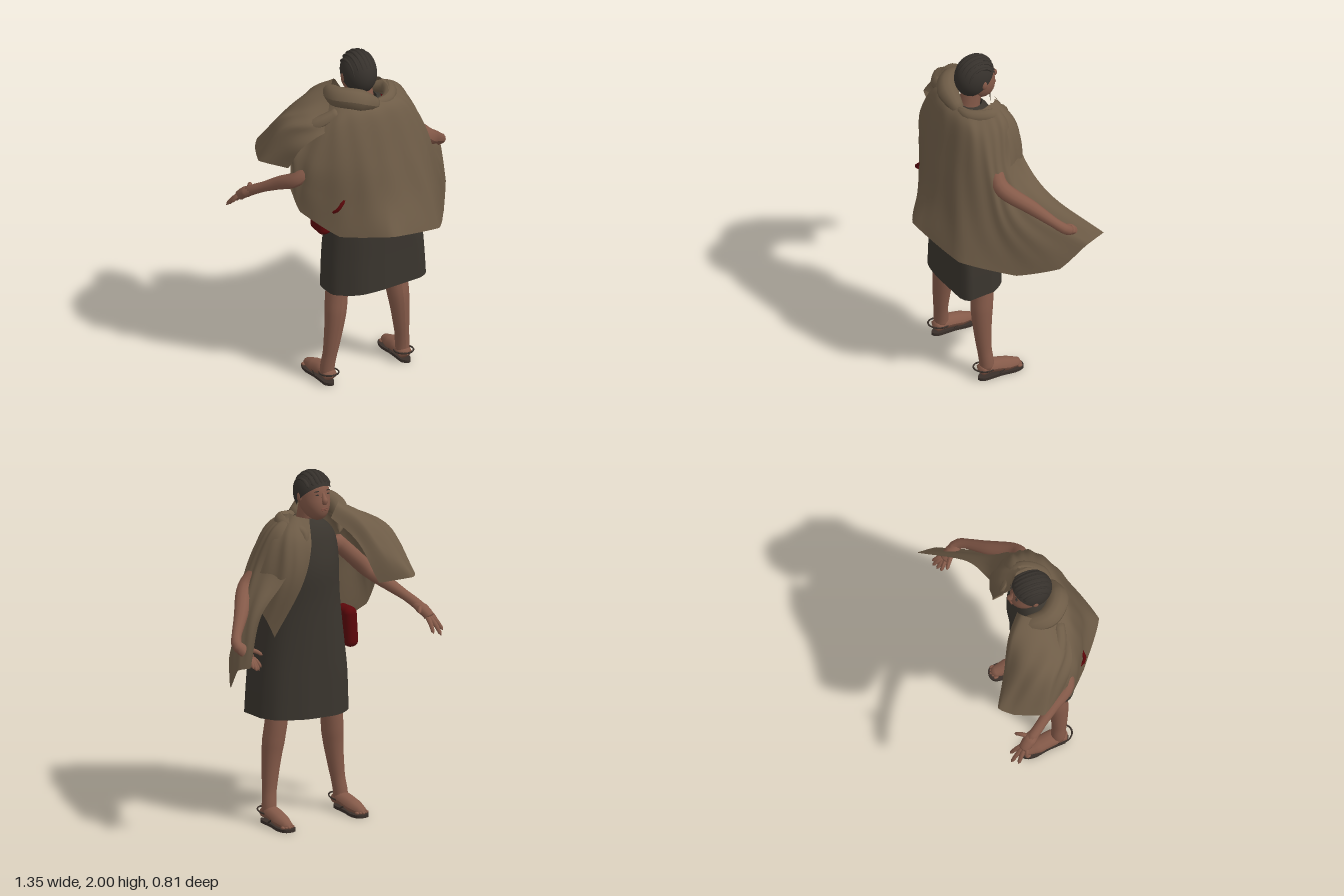
import * as THREE from 'three';
import { RoundedBoxGeometry } from 'three/addons/geometries/RoundedBoxGeometry.js';

const mat = (name, color, side = THREE.FrontSide) => {
  const m = new THREE.MeshStandardMaterial({ color, side });
  m.name = name;
  return m;
};
const V = (p) => new THREE.Vector3(...p);
const spline = (pts) => new THREE.CatmullRomCurve3(pts, false, 'catmullrom', 0.5);

// Tapered, rounded tube through points; sy flattens it vertically
function limb(points, radii, { seg = 18, sides = 12, sy = 1 } = {}) {
  const path = spline(points.map(V));
  const geo = new THREE.TubeGeometry(path, seg, 1, sides, false);
  const pos = geo.attributes.position, p = new THREE.Vector3();
  const rad = (u) => {
    const t = u * (radii.length - 1), i = Math.min(Math.floor(t), radii.length - 2);
    return THREE.MathUtils.lerp(radii[i], radii[i + 1], t - i);
  };
  for (let i = 0; i <= seg; i++) {
    const c = path.getPointAt(i / seg);
    const r = i === 0 || i === seg ? 0.001 : rad(i / seg);
    for (let j = 0; j <= sides; j++) {
      const k = i * (sides + 1) + j;
      p.fromBufferAttribute(pos, k).sub(c).multiplyScalar(r);
      p.y *= sy;
      p.add(c);
      pos.setXYZ(k, p.x, p.y, p.z);
    }
  }
  geo.computeVertexNormals();
  return geo;
}

// Cloth surface across falling edge curves; rows straighten towards the hem for angular corners
function sheet(columns, nu, nv, wrinkle = 0) {
  const curves = columns.map((c) => spline(c.map(V)));
  const pos = [], index = [], flat = new THREE.Vector3();
  for (let j = 0; j <= nv; j++) {
    const v = j / nv, pts = curves.map((c) => c.getPoint(v)), row = spline(pts);
    for (let i = 0; i <= nu; i++) {
      const t = (i / nu) * (pts.length - 1), s = Math.min(Math.floor(t), pts.length - 2);
      const p = row.getPoint(i / nu).lerp(flat.lerpVectors(pts[s], pts[s + 1], t - s), 0.7 * v ** 4);
      const w = 1 + wrinkle * Math.sin(i * 1.1 + v * 5) * Math.sin(Math.PI * v);
      pos.push(p.x * w, p.y, p.z * w);
      if (i < nu && j < nv) {
        const a = j * (nu + 1) + i, b = a + nu + 1;
        index.push(a, a + 1, b, b, a + 1, b + 1);
      }
    }
  }
  const geo = new THREE.BufferGeometry();
  geo.setAttribute('position', new THREE.Float32BufferAttribute(pos, 3));
  geo.setIndex(index);
  geo.computeVertexNormals();
  return geo;
}

export function createModel() {
  const model = new THREE.Group();
  const skin = mat('skin', 0x855a49);
  const hair = mat('hair', 0x36312c);
  const cloth = mat('cloak cloth', 0x6e5c47, THREE.DoubleSide);
  const dark = mat('dress cloth', 0x3a352e, THREE.DoubleSide);
  const red = mat('pouch red', 0x5c070a);
  const leather = mat('sandal leather', 0x3a302a);
  const lip = mat('lips', 0x794c3e);
  const add = (name, geo, m, at = [0, 0, 0], parent = model) => {
    const mesh = new THREE.Mesh(geo, m);
    mesh.name = name;
    mesh.position.set(...at);
    parent.add(mesh);
    return mesh;
  };

  // Dress: elliptical sections [y, half width, half depth, centre z], squarer towards the hem
  const sections = [[0.6, 0.278, 0.165, 0.085], [0.8, 0.268, 0.165, 0.08], [1.0, 0.25, 0.165, 0.075],
    [1.25, 0.22, 0.16, 0.06], [1.45, 0.205, 0.155, 0.04], [1.6, 0.19, 0.13, 0.04], [1.68, 0.14, 0.1, 0.04], [1.73, 0.06, 0.06, 0.04]];
  const width = spline(sections.map((s) => new THREE.Vector3(s[1], s[0], 0)));
  const depth = spline(sections.map((s) => new THREE.Vector3(s[2], s[3], 0)));
  const n = 28, clamp = THREE.MathUtils.clamp;
  const dress = new THREE.LatheGeometry(width.getPoints(n).map((p) => new THREE.Vector2(p.x, p.y)), 56);
  const dp = dress.attributes.position;
  for (let k = 0; k < dp.count; k++) {
    const j = k % (n + 1), d = depth.getPoint(j / n), r = width.getPoint(j / n).x;
    const a = Math.atan2(dp.getX(k), dp.getZ(k)), drop = Math.max(0, 1 - j / 14);
    const corner = Math.max(0, Math.sin(2 * a)) * (a > 0 ? 0.3 : 0.1) * Math.min(1, drop * 1.6);
    const swell = 1 + corner + 0.012 * drop * Math.sin(a * 9);
    dp.setX(k, clamp(dp.getX(k) * swell, -r, r));
    dp.setZ(k, clamp((dp.getZ(k) / r) * d.x * swell, -d.x, d.x) + d.y);
    dp.setY(k, dp.getY(k) + 0.012 * drop * Math.sin(a));
  }
  dress.computeVertexNormals();
  add('dress', dress, dark);

  // Cloak: falling lines from the +x front edge, round the back, to the -x side
  add('cloak', sheet([
    [[0.07, 1.75, -0.07], [0.15, 1.6, -0.14], [0.27, 1.43, -0.14], [0.46, 1.28, -0.2], [0.665, 1.08, -0.405]],
    [[0.12, 1.77, -0.03], [0.24, 1.69, -0.04], [0.335, 1.47, -0.01], [0.48, 1.24, -0.07], [0.67, 1.04, -0.29]],
    [[0.13, 1.77, 0.01], [0.25, 1.68, 0.03], [0.35, 1.45, 0.07], [0.46, 1.18, 0.04], [0.62, 0.9, -0.15]],
    [[0.13, 1.76, 0.06], [0.24, 1.65, 0.11], [0.33, 1.43, 0.14], [0.4, 1.13, 0.13], [0.49, 0.85, 0.05]],
    [[0.08, 1.75, 0.12], [0.16, 1.67, 0.17], [0.2, 1.42, 0.235], [0.26, 1.15, 0.28], [0.31, 0.93, 0.31]],
    [[-0.02, 1.75, 0.14], [-0.01, 1.67, 0.2], [-0.01, 1.42, 0.265], [-0.02, 1.2, 0.32], [-0.03, 1.02, 0.4]],
    [[-0.13, 1.78, 0.12], [-0.18, 1.68, 0.18], [-0.2, 1.43, 0.23], [-0.23, 1.18, 0.23], [-0.27, 1.0, 0.22]],
    [[-0.18, 1.78, 0.03], [-0.29, 1.66, 0.11], [-0.38, 1.46, 0.13], [-0.42, 1.3, 0.11], [-0.44, 1.14, 0.08]],
    [[-0.13, 1.77, -0.06], [-0.28, 1.69, -0.08], [-0.44, 1.57, -0.04], [-0.47, 1.42, 0.02], [-0.48, 1.28, 0.04]],
  ], 64, 30, 0.012), cloth);

  // Front panel hanging over the +x side of the chest
  add('cloakFront', sheet([
    [[0.05, 1.75, -0.08], [0.09, 1.6, -0.155], [0.15, 1.4, -0.155], [0.26, 1.1, -0.05]],
    [[0.12, 1.77, -0.05], [0.2, 1.65, -0.125], [0.25, 1.45, -0.135], [0.31, 1.2, -0.05]],
    [[0.13, 1.78, 0.0], [0.25, 1.67, -0.03], [0.335, 1.47, -0.01], [0.36, 1.33, 0.03]],
  ], 18, 16, 0.015), cloth);

  // Loose end thrown forward over the -x shoulder
  add('cloakFlap', sheet([
    [[-0.08, 1.74, -0.1], [-0.15, 1.66, -0.17], [-0.22, 1.55, -0.22], [-0.29, 1.37, -0.26]],
    [[-0.13, 1.81, -0.09], [-0.22, 1.73, -0.18], [-0.33, 1.57, -0.25], [-0.45, 1.4, -0.355]],
    [[-0.2, 1.79, 0.0], [-0.34, 1.71, -0.08], [-0.44, 1.61, -0.17], [-0.515, 1.39, -0.285]],
    [[-0.26, 1.7, 0.08], [-0.38, 1.68, 0.03], [-0.48, 1.61, -0.05], [-0.58, 1.4, -0.13]],
    [[-0.27, 1.64, 0.13], [-0.36, 1.6, 0.11], [-0.44, 1.52, 0.07], [-0.48, 1.4, 0.02]],
  ], 28, 18, 0.02), cloth);

  // Bunched folds around the neck and shoulders
  [
    [[[0.03, 1.71, 0.13], [-0.1, 1.78, 0.13], [-0.18, 1.78, 0.05], [-0.17, 1.75, -0.06], [-0.11, 1.66, -0.14]], [0.03, 0.06, 0.06, 0.045, 0.01]],
    [[[-0.02, 1.72, 0.13], [0.1, 1.72, 0.11], [0.16, 1.72, 0.0], [0.1, 1.68, -0.1], [0.12, 1.58, -0.13]], [0.02, 0.035, 0.04, 0.03, 0.01]],
    [[[-0.2, 1.72, 0.1], [-0.31, 1.66, 0.06], [-0.41, 1.6, -0.03], [-0.43, 1.52, -0.16]], [0.03, 0.04, 0.035, 0.01]],
  ].forEach(([p, r], i) => add('cloakFold' + (i + 1), limb(p, r, { seg: 24 }), cloth));

  // Neck and head, face towards -z
  add('neck', limb([[-0.01, 1.62, 0.06], [-0.015, 1.72, 0.04], [-0.02, 1.82, 0.02]], [0.065, 0.058, 0.058]), skin);
  const head = new THREE.Group();
  head.name = 'head';
  head.position.set(-0.025, 1.872, 0);
  model.add(head);
  const skull = new THREE.SphereGeometry(1, 28, 20), sp = skull.attributes.position;
  for (let k = 0; k < sp.count; k++) {
    const y = sp.getY(k), low = Math.max(0, -y);
    sp.setXYZ(k, sp.getX(k) * 0.087 * (1 + 0.04 * low), y * (y > 0 ? 0.112 : 0.145), sp.getZ(k) * 0.11 - 0.045 * low);
  }
  skull.computeVertexNormals();
  add('face', skull, skin, [0, 0, 0], head);
  add('hairCap', new THREE.SphereGeometry(1, 28, 18, 0, Math.PI * 2, 0, 1.8).rotateX(0.72).scale(0.098, 0.124, 0.119), hair, [0, 0.001, 0.002], head);
  for (let i = -3; i <= 3; i++) {
    const s = i / 4.2, c = Math.sqrt(1 - s * s);
    const arc = [-0.95, -0.4, 0.2, 0.8, 1.4].map((t) => [s * 0.097, 0.122 * c * Math.cos(t), 0.118 * c * Math.sin(t)]);
    add('braid', limb(arc, [0.011, 0.009, 0.007, 0.005], { sides: 6 }), hair, [0, 0, 0], head);
  }
  add('nose', limb([[0, 0.025, -0.1], [0, -0.005, -0.114], [0, -0.026, -0.124], [0, -0.036, -0.11]], [0.008, 0.012, 0.017, 0.012]), skin, [0, 0, 0], head);
  for (const y of [-0.065, -0.074])
    add('lip', new THREE.SphereGeometry(1, 12, 8).scale(0.024, 0.005, 0.008), lip, [0, y, -0.118], head);
  for (const s of [-1, 1]) {
    add('eye', new THREE.SphereGeometry(1, 12, 8).scale(0.012, 0.004, 0.004), hair, [s * 0.034, 0.012, -0.1], head);
    add('brow', new THREE.SphereGeometry(1, 10, 6).scale(0.019, 0.003, 0.004), hair, [s * 0.035, 0.032, -0.097], head);
    add('ear', new THREE.SphereGeometry(1, 12, 8).scale(0.012, 0.03, 0.018), skin, [s * 0.09, -0.01, -0.005], head);
  }

  // Arms and spread hands: shoulder, elbow, wrist, palm, fingertips (thumb last)
  const arms = {
    left: [[0.19, 1.56, 0.04], [0.37, 1.38, 0.07], [0.605, 1.16, -0.18], [0.585, 1.11, -0.25],
      [[0.6, 1.05, -0.34], [0.58, 1.035, -0.345], [0.555, 1.03, -0.33], [0.53, 1.04, -0.315], [0.505, 1.1, -0.29]]],
    right: [[-0.19, 1.57, 0.04], [-0.435, 1.345, 0.055], [-0.575, 1.2, -0.17], [-0.61, 1.15, -0.24],
      [[-0.67, 1.09, -0.27], [-0.675, 1.05, -0.32], [-0.645, 1.03, -0.35], [-0.6, 1.045, -0.34], [-0.54, 1.16, -0.29]]],
  };
  for (const [side, [shoulder, elbow, wrist, palm, tips]] of Object.entries(arms)) {
    const mid = (a, b, t) => a.map((x, i) => x + (b[i] - x) * t);
    add(side + 'Arm', limb([shoulder, mid(shoulder, elbow, 0.5), elbow, mid(elbow, wrist, 0.5), wrist, palm],
      [0.045, 0.046, 0.046, 0.04, 0.028, 0.03], { seg: 26 }), skin);
    const end = mid(palm, mid(tips[1], tips[2], 0.5), 0.3);
    add(side + 'Palm', limb([wrist, palm, end], [0.024, 0.038, 0.03], { sy: 0.75 }), skin);
    tips.forEach((t, i) => {
      const root = mid(i === 4 ? mid(wrist, palm, 0.6) : palm, t, 0.15), knuckle = mid(root, t, 0.55);
      knuckle[1] += 0.012;
      add(side + 'Finger' + (i + 1), limb([root, knuckle, t], [0.015, 0.013, 0.009], { seg: 8, sides: 8 }), skin);
    });
  }

  // Legs, feet and sandals: x at hip, knee, ankle, toe
  const legs = { left: [0.145, 0.185, 0.213, 0.222], right: [-0.18, -0.222, -0.262, -0.272] };
  for (const [side, [hip, knee, ankle, toe]] of Object.entries(legs)) {
    const lerp = THREE.MathUtils.lerp;
    add(side + 'Leg', limb([[hip, 0.74, 0.072], [lerp(hip, knee, 0.5), 0.58, 0.072], [knee, 0.4, 0.085],
      [lerp(knee, ankle, 0.6), 0.22, 0.083], [ankle, 0.1, 0.072], [ankle, 0.035, 0.07]],
    [0.066, 0.064, 0.063, 0.051, 0.04, 0.042], { seg: 28, sides: 16 }), skin);
    add(side + 'Foot', limb([[ankle, 0.05, 0.125], [ankle, 0.065, 0.045], [lerp(ankle, toe, 0.6), 0.045, -0.05], [toe, 0.026, -0.14]],
      [0.036, 0.048, 0.047, 0.026], { sy: 0.8 }), skin);
    for (let i = -2; i <= 2; i++)
      add(side + 'Toe', new THREE.SphereGeometry(0.011, 8, 6).scale(0.9, 0.8, 1.4), skin, [toe + i * 0.016, 0.024, -0.132 + Math.abs(i) * 0.006]);
    const sole = new THREE.Shape(spline([[-0.03, -0.1], [-0.036, 0], [-0.05, 0.09], [-0.03, 0.146], [0.03, 0.146], [0.05, 0.09], [0.036, 0], [0.03, -0.1], [0, -0.13], [-0.03, -0.1]]
      .map(([x, y]) => new THREE.Vector3(x, y, 0))).getPoints(36).map((p) => new THREE.Vector2(p.x, p.y)));
    const soleGeo = new THREE.ExtrudeGeometry(sole, { depth: 0.017, bevelEnabled: false });
    add(side + 'Sole', soleGeo.rotateX(-Math.PI / 2), leather, [lerp(ankle, toe, 0.6), 0, 0]);
    const ring = add(side + 'AnkleStrap', new THREE.TorusGeometry(1, 0.08, 6, 28).rotateX(Math.PI / 2).scale(0.052, 0.06, 0.062), leather, [ankle, 0.068, 0.088]);
    ring.rotation.x = -0.15;
    for (const s of [-1, 1])
      add(side + 'ToeStrap', limb([[toe, 0.046, -0.1], [toe + s * 0.03, 0.058, -0.045], [ankle + s * 0.046, 0.02, 0.02]],
        [0.005, 0.005, 0.005], { seg: 10, sides: 6 }), leather);
  }

  // Pouch at the hip, with its strap across the back beneath the cloak
  add('pouch', new RoundedBoxGeometry(0.08, 0.23, 0.14, 3, 0.035), red, [-0.275, 1.06, 0.03]).rotation.z = -0.06;
  add('pouchStrap', limb([[0.09, 1.72, 0.05], [0.07, 1.67, 0.14], [-0.08, 1.45, 0.21], [-0.21, 1.26, 0.21], [-0.285, 1.17, 0.215], [-0.29, 1.1, 0.08]],
    [0.01, 0.01, 0.01], { seg: 30, sides: 6 }), red);

  return model;
}
